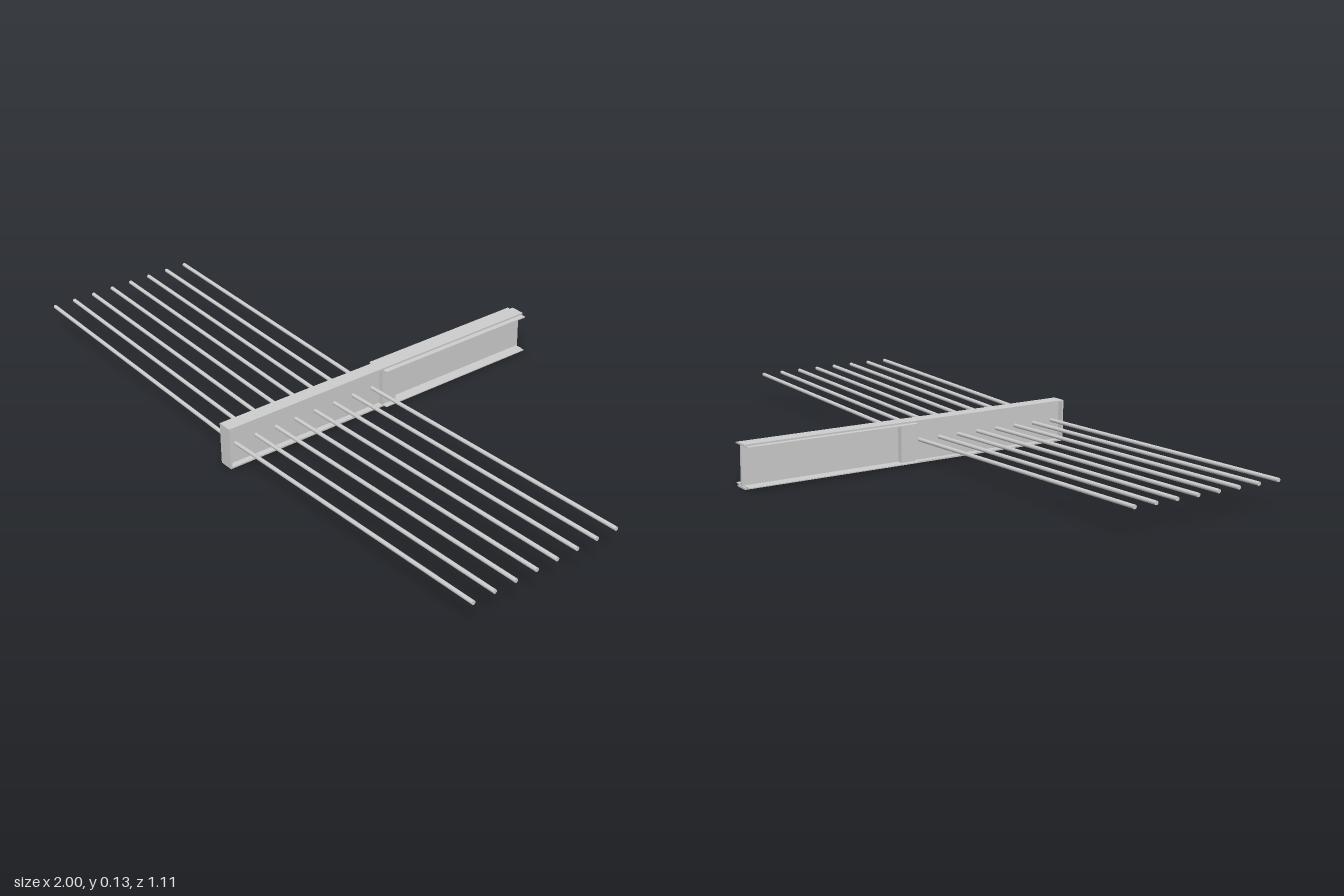
import * as THREE from 'three';

export function createModel() {
  const model = new THREE.Group();
  model.name = 'ribbedBeam';
  const steel = new THREE.MeshStandardMaterial({ color: 0xcccccc });
  steel.name = 'steel grey';

  // Box given by its extents on each axis
  const box = (name, x0, x1, y0, y1, z0, z1) => {
    const mesh = new THREE.Mesh(new THREE.BoxGeometry(x1 - x0, y1 - y0, z1 - z0), steel);
    mesh.position.set((x0 + x1) / 2, (y0 + y1) / 2, (z0 + z1) / 2);
    mesh.name = name;
    model.add(mesh);
  };

  // Height, flange thickness, inner face of the wide flanges, half width, half length
  const H = 0.13, T = 0.005, IN = 0.008, W = 0.023, END = 0.557;

  // Long narrow beam: web, two flanges and the closing plate at the front
  box('web', -0.004, 0.004, T, H - T, -END, END);
  box('bottomFlange', -W, W, 0, T, -END, END);
  box('topFlange', -W, W, H - T, H, -END, END);
  box('frontEndPlate', -W, W, T, H - T, END - 0.005, END);

  // Wider reinforcing flanges along the rear half
  box('rearBottomFlange', -0.04, 0.04, T, IN, -0.552, 0.008);
  box('rearTopFlange', -0.04, 0.04, H - IN, H - T, -0.552, 0.008);

  // Stiffener blocks where the wide flanges begin
  box('leftStiffener', 0.004, W, IN, H - IN, -0.04, 0.008);
  box('rightStiffener', -W, -0.004, IN, H - IN, -0.04, 0.008);

  // Eight pairs of thin rods rising gently outwards
  const inner = 0.066, outer = 0.095, radius = 0.006;
  const rodGeometry = new THREE.CylinderGeometry(radius, radius, Math.hypot(1, outer - inner), 16);
  const up = new THREE.Vector3(0, 1, 0);
  for (let i = 0; i < 8; i++) {
    for (const s of [-1, 1]) {
      const rod = new THREE.Mesh(rodGeometry, steel);
      rod.name = (s > 0 ? 'leftRod' : 'rightRod') + (i + 1);
      rod.position.set(s * 0.5, (inner + outer) / 2, 0.035 + i * 0.07);
      rod.quaternion.setFromUnitVectors(up, new THREE.Vector3(s, outer - inner, 0).normalize());
      model.add(rod);
    }
  }
  return model;
}
